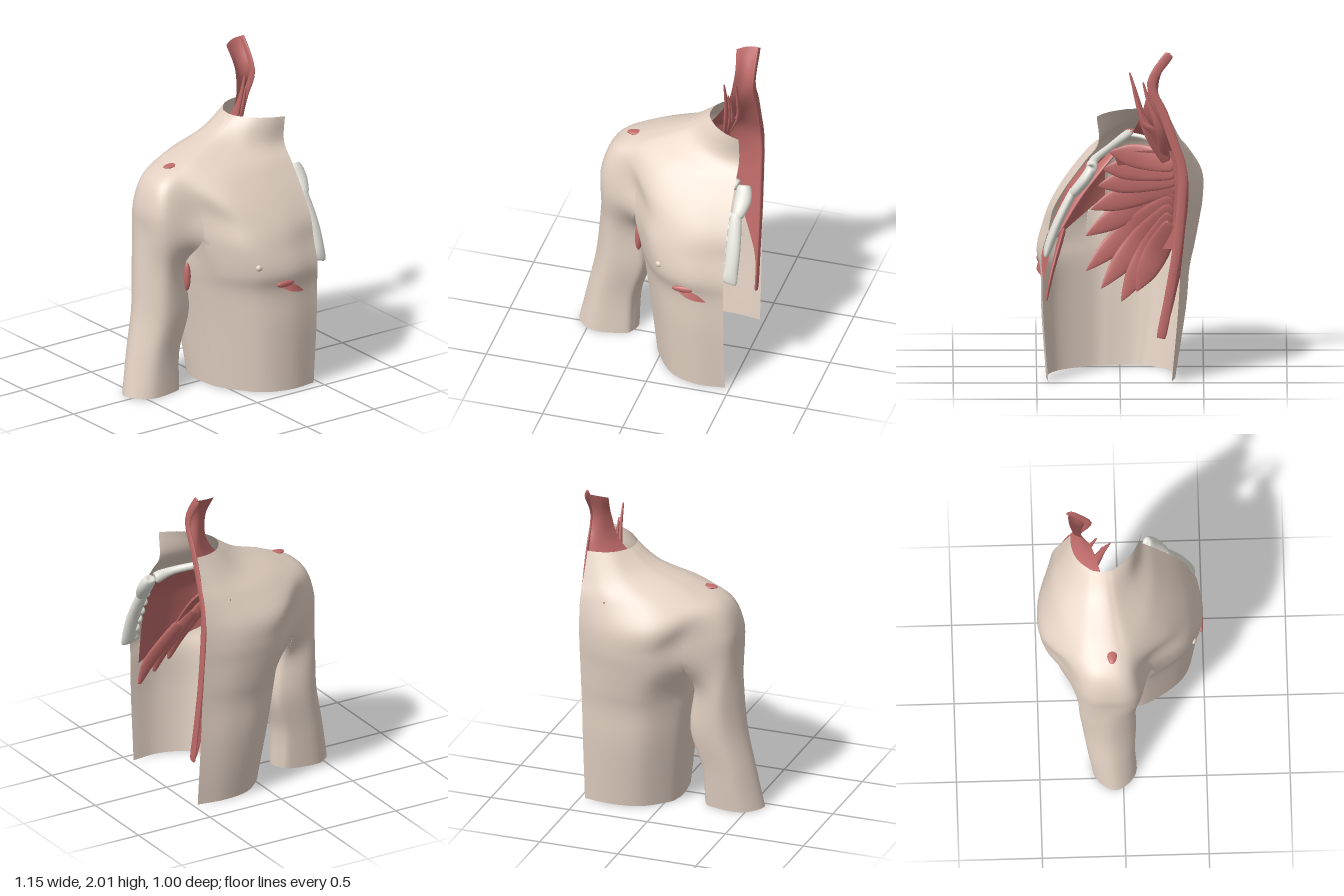
import * as THREE from 'three';
import { mergeGeometries, mergeVertices } from 'three/addons/utils/BufferGeometryUtils.js';

const V = (p) => new THREE.Vector3(p[0], p[1], p[2]);
const mat = (color) => new THREE.MeshStandardMaterial({ color, side: THREE.DoubleSide });
const skin = mat(0xe2d0c2), muscle = mat(0xc06c6a), bone = mat(0xe2e2da);
const range = (n, f) => Array.from({ length: n }, (_, i) => f(i));
const spline = (pts, closed = false) => new THREE.CatmullRomCurve3(pts, closed, 'catmullrom');

// Smooth sheet through rows of control points, limited to the columns c0..c1
function sheet(rows, { c0 = 0, c1 = null, closed = false, k = 6, m = 6 } = {}) {
  const n = closed ? rows[0].length : rows[0].length - 1;
  const nu = ((c1 ?? n) - c0) * k, nv = (rows.length - 1) * m;
  const curves = rows.map((r) => spline(r.map(V), closed));
  const pos = new Float32Array((nu + 1) * (nv + 1) * 3), index = [];
  for (let j = 0; j <= nu; j++) {
    const column = spline(curves.map((c) => c.getPoint((c0 + j / k) / n)));
    for (let i = 0; i <= nv; i++) column.getPoint(i / nv).toArray(pos, (i * (nu + 1) + j) * 3);
  }
  for (let i = 0; i < nv; i++) for (let j = 0; j < nu; j++) {
    const a = i * (nu + 1) + j, b = a + nu + 1;
    index.push(a, a + 1, b, a + 1, b + 1, b);
  }
  const g = new THREE.BufferGeometry();
  g.setAttribute('position', new THREE.BufferAttribute(pos, 3));
  g.setIndex(index);
  return g;
}

function weld(list) {
  const g = mergeVertices(mergeGeometries(list), 1e-4);
  g.computeVertexNormals();
  return g;
}

// Flattened rounded strap: points are [x, y, z, half width, half thickness]
function strap(points, facing, k = 2) {
  const path = spline(points.map(V)), N0 = V(facing), last = points.length - 1;
  const ring = (i, s) => {
    const p = points[i], T = path.getTangent(i / last);
    const N = N0.clone().addScaledVector(T, -N0.dot(T)).normalize(), S = N.clone().cross(T);
    return range(8, (q) => {
      const a = q * Math.PI / 4;
      return V(p).addScaledVector(S, Math.cos(a) * p[3] * s).addScaledVector(N, Math.sin(a) * p[4] * s).toArray();
    });
  };
  const rows = [ring(0, 0.02), ...points.map((_, i) => ring(i, 1)), ring(last, 0.02)];
  return weld([sheet(rows, { closed: true, k, m: 4 })]);
}

// Four points from a to b, bowed along z
const bow = (a, b, depth) => range(4, (j) => {
  const t = j / 3;
  return [a[0] + (b[0] - a[0]) * t, a[1] + (b[1] - a[1]) * t * t, a[2] + (b[2] - a[2]) * t + depth * Math.sin(Math.PI * t)];
});

// Half section of the body from front midline, round the side, to back midline
const angles = [0, 20, 42, 68, 80, 90, 100, 112, 138, 160, 180];
const section = ([y, side, shoulder, rise, mid, front, back, frontBulge, backBulge]) => angles.map((deg, i) => {
  const a = deg * Math.PI / 180, s = Math.sin(a), c = Math.cos(a);
  const out = Math.max(0, (s - 0.93) / 0.07) ** 0.7;
  const spread = [4, 6, 7].includes(i) ? shoulder * 0.22 * Math.sign(c) : 0;
  const z = mid + (c > 0 ? front - mid : mid - back) * c + (c > 0 ? frontBulge : backBulge) * Math.sin(2 * a) + spread;
  return [0.47 - (0.47 - side) * s - shoulder * out, y + rise * s ** 4, z];
});

function buildSkin() {
  const upper = [
    [1.62, .225, 0, 0, -.1, .14, -.29, -.03, .01],
    [1.46, .07, 0, .06, -.09, .13, -.35, 0, .04],
    [1.35, -.19, 0, .07, -.07, .21, -.39, .03, .08],
    [1.2, -.26, .1, .13, -.07, .32, -.41, .05, .15],
    [1.06, -.22, .21, .11, -.07, .4, -.405, .07, .16],
    [.93, -.22, .215, .07, -.08, .43, -.39, .1, .15],
  ].map(section);
  const trunk = [
    [.78, -.165, 0, 0, -.06, .47, -.375, .095, .13],
    [.64, -.145, 0, 0, -.06, .465, -.36, .06, .11],
    [.4, -.11, 0, 0, -.06, .46, -.345, .06, .1],
    [0, -.06, 0, 0, -.04, .43, -.31, .06, .06],
  ].map(section);
  // Arm rings: y, centre x, centre z, radius x, radius z
  const armAngles = [50, 115, 180, 245, 310, 335, 360, 385];
  const arm = [[.78, -.31, -.09, .145, .18], [.5, -.305, -.08, .175, .17], [.25, -.365, -.07, .165, .15], [0, -.395, -.05, .185, .14]]
    .map(([y, cx, cz, rx, rz]) => armAngles.map((deg) => {
      const a = deg * Math.PI / 180;
      return [cx + rx * Math.cos(a), y, cz + rz * Math.sin(a)];
    }));
  // The armpit line divides the last shoulder section into trunk and arm
  const split = upper[5];
  const armpit = [1, 2, 3].map((i) => V(split[3]).lerp(V(split[7]), i / 4).toArray());
  const trunkTop = [...split.slice(0, 4), ...armpit, ...split.slice(7)];
  const armTop = [...split.slice(3, 8), ...armpit.slice().reverse()];
  const outerArm = arm.map((r) => range(11, (i) => r[(i + 5) % 8]));
  return weld([
    sheet([...upper, ...trunk], { c0: 0, c1: 3 }),
    sheet([...upper, ...trunk], { c0: 7, c1: 10 }),
    sheet([...upper, ...outerArm], { c0: 3, c1: 7 }),
    sheet([trunkTop, ...trunk], { c0: 3, c1: 7 }),
    sheet([armTop, ...arm], { c0: 4, c1: 8, closed: true }),
  ]);
}

function createModel() {
  const model = new THREE.Group();
  const add = (name, geo, material) => {
    const mesh = new THREE.Mesh(geo, material);
    mesh.name = name;
    model.add(mesh);
    return mesh;
  };
  const blob = (name, at, size, material) => {
    const b = add(name, new THREE.SphereGeometry(1, 20, 12), material);
    b.position.set(...at);
    b.scale.set(...size);
  };

  add('skin', buildSkin(), skin);
  blob('nipple', [.06, .83, .437], [.022, .02, .018], skin);

  // Breastbone with rib notches, and collarbone
  add('breastboneTop', strap([[.515, 1.31, .17, .04, .03], [.52, 1.24, .215, .052, .035], [.505, 1.16, .28, .034, .028]], [0, .5, .85], 3), bone);
  add('breastboneBody', strap([[.495, 1.17, .28, .034, .025], [.505, 1, .365, .044, .028], [.505, .86, .42, .045, .028],
    [.485, .79, .44, .06, .02]], [0, .4, .9], 3), bone);
  for (let i = 0; i < 6; i++) blob('ribNotch', [.465, 1.16 - .068 * i, .285 + .029 * i], [.02, .026, .022], bone);
  add('collarbone', strap([[.47, 1.31, .17, .035, .035], [.36, 1.34, .15, .025, .024], [.2, 1.38, .06, .022, .022],
    [-.06, 1.415, -.05, .03, .018]], [0, 1, 0]), bone);
  add('shoulderBladeTip', strap([[.08, 1.36, -.24, .02, .015], [-.03, 1.39, -.17, .025, .018], [-.1, 1.4, -.06, .03, .015]], [0, 1, 0]), bone);

  // Trapezius: spine y and z, outer edge x, y and z, depth of bow
  const spine = [
    [2, -.3, .335, 1.98, -.27, -.015],
    [1.83, -.2, .345, 1.83, -.19, -.04],
    [1.65, -.27, .3, 1.64, -.14, -.02],
    [1.48, -.33, .12, 1.46, -.08, -.06],
    [1.3, -.385, -.2, 1.41, -.06, -.12],
    [1.1, -.38, -.08, 1.33, -.22, -.11],
    [.8, -.35, .2, 1, -.43, -.01],
    [.5, -.3, .41, .55, -.34, 0],
    [.29, -.26, .455, .3, -.275, 0],
  ];
  add('trapezius', weld([sheet(spine.map(([y, z, ox, oy, oz, d]) => bow([.47, y, z], [ox, oy, oz], d)))]), muscle);
  add('spineMuscleEdge', strap(spine.map(([y, z]) => [.467, y - .01, z + .012, .028, .009]), [1, 0, 0]), muscle);

  // Pectoral fan, converging at the upper arm
  add('pectoral', weld([sheet(range(5, (i) => {
    const t = i / 4;
    return bow([.46 - .04 * t, 1.32 - .7 * t, .18 + .275 * Math.sqrt(t)], [-.13, 1.26 - .24 * t, .09], .05 + .14 * t);
  }))]), muscle);
  for (let i = 0; i < 3; i++) {
    const x = .42 - .09 * i, y = .5 + .07 * i, z = .44 - .02 * i;
    add('pectoralSlip', strap([[x, y, z, .015, .008], [x - .05, y + .14, z - .03, .045, .012], [x - .2, y + .36, z - .1, .04, .012]], [0, 0, 1]), muscle);
  }
  add('smallPectoral', strap([[.2, .85, .38, .03, .01], [.12, 1.05, .27, .07, .015], [.04, 1.2, .14, .05, .015], [0, 1.32, .03, .03, .01]], [.5, 0, 1]), muscle);

  // Rib-wall muscles: a broad sheet and a fan of pointed slips
  const wall = (y, z) => {
    const rx = .585 - .42 * Math.max(0, y - .9) - .2 * Math.max(0, .7 - y);
    return [.47 - rx * Math.sqrt(1 - (z / .46) ** 2), y, z];
  };
  add('ribWallMuscle', weld([sheet(range(5, (i) =>
    range(5, (j) => wall(1.36 - .155 * i - .01 * j, -.42 + j * (.115 - i * .012)))))]), muscle);
  const tips = [[1.32, .06], [1.21, .1], [1.1, .13], [.95, .17], [.79, .2], [.58, .2], [.47, .11], [.39, -.01], [.45, -.1]];
  const taper = [[0, .05], [.4, .075], [.7, .065], [.9, .03], [1, .004]];
  tips.forEach(([y, z], i) => {
    const rootY = 1.27 - i * .05;
    const path = taper.map(([t, w]) => [...wall(rootY + (y - rootY) * t, -.31 + (z + .31) * t), w, w * .2]);
    add('serratusSlip', strap(path, [1, 0, 0]), muscle);
  });

  // Slender neck strands running down to the shoulder blade and ribs
  [[.32, 1.85, -.06], [.34, 1.76, -.08], [.35, 1.7, -.1], [.37, 1.8, -.14]].forEach(([x, y, z], i) =>
    add('neckStrand', strap([[x, y, z, .006, .005], [x, y - .14, z - .04, .014, .01], [x - .02, 1.5, z - .1, .025, .014],
      [x - .06 - i * .02, 1.32, -.27, .03, .012]], [1, 0, 0]), muscle));

  // Muscle showing through the skin
  blob('chestMusclePatch', [.22, .71, .486], [.065, .02, .014], muscle);
  blob('armMusclePatch', [-.185, .71, .04], [.022, .09, .025], muscle);
  blob('shoulderMusclePatch', [-.22, 1.4, -.06], [.065, .012, .03], muscle);
  return model;
}

export { createModel };
